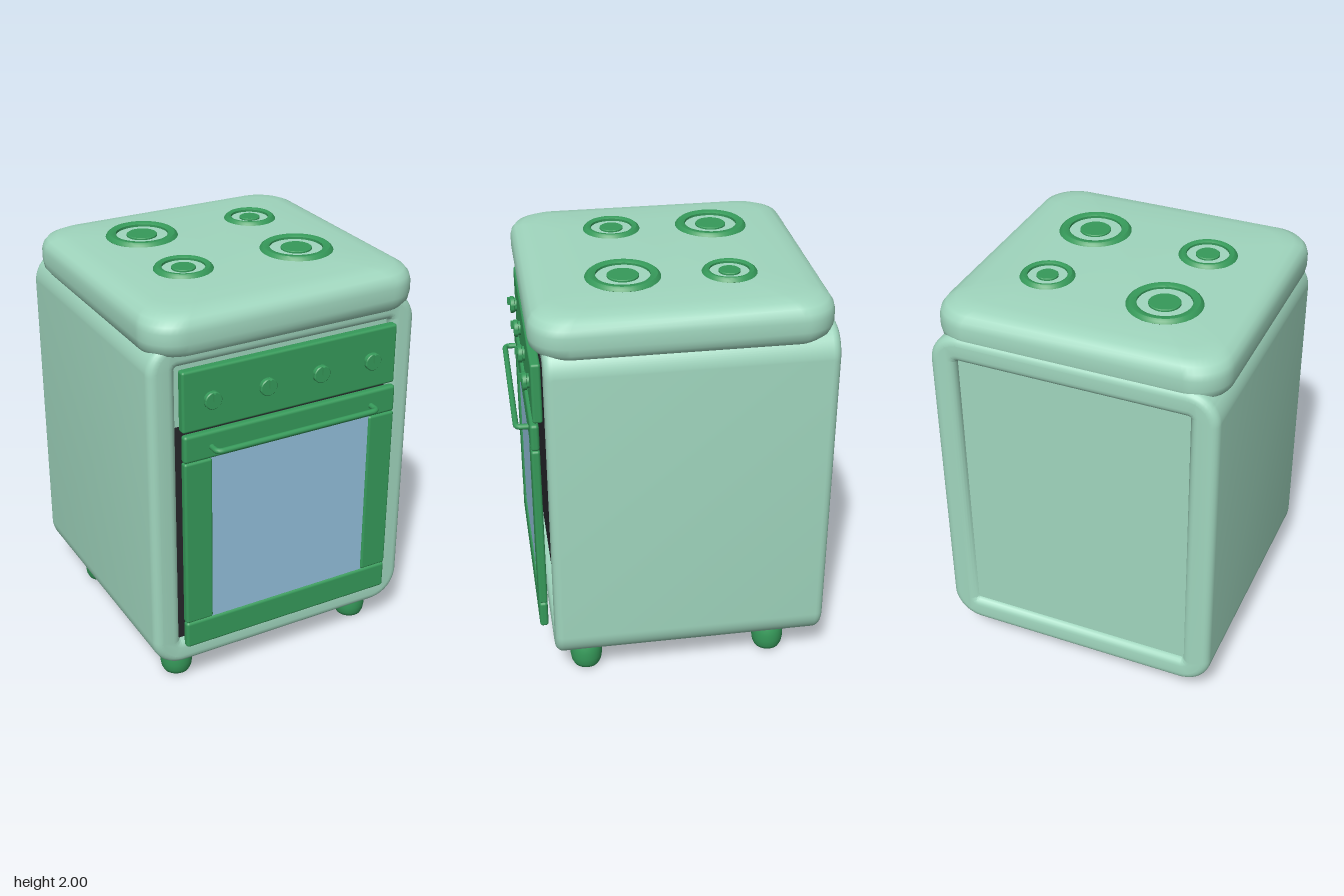
import * as THREE from 'three';
import { toCreasedNormals } from 'three/addons/utils/BufferGeometryUtils.js';
import { RoundedBoxGeometry } from 'three/addons/geometries/RoundedBoxGeometry.js';

function material(name, color) {
  const m = new THREE.MeshStandardMaterial({ color });
  m.name = name;
  return m;
}

// Rounded rectangle path between two corners
function roundedRect(path, x0, y0, x1, y1, r) {
  path.moveTo(x0 + r, y0);
  path.lineTo(x1 - r, y0);
  path.absarc(x1 - r, y0 + r, r, -Math.PI / 2, 0);
  path.lineTo(x1, y1 - r);
  path.absarc(x1 - r, y1 - r, r, 0, Math.PI / 2);
  path.lineTo(x0 + r, y1);
  path.absarc(x0 + r, y1 - r, r, Math.PI / 2, Math.PI);
  path.lineTo(x0, y0 + r);
  path.absarc(x0 + r, y0 + r, r, Math.PI, Math.PI * 1.5);
  return path;
}

function lathe(points, segments = 40) {
  const geo = new THREE.LatheGeometry(points.map(([r, y]) => new THREE.Vector2(r, y)), segments);
  return toCreasedNormals(geo, 0.6);
}

// Cushion-shaped slab: rounded rectangle rings of [inset, height] from bottom to top
function slabGeometry(hw, hd, r, profile) {
  const steps = 10, pos = [], index = [];
  const corners = [[1, 1], [-1, 1], [-1, -1], [1, -1]];
  const count = 4 * (steps + 1);
  for (const [inset, y] of profile) {
    const s = 1 - inset / hw;
    corners.forEach(([sx, sz], k) => {
      for (let i = 0; i <= steps; i++) {
        const a = (k + i / steps) * Math.PI / 2;
        pos.push((sx * (hw - r) + r * Math.cos(a)) * s, y, (sz * (hd - r) + r * Math.sin(a)) * s);
      }
    });
  }
  for (let i = 0; i < profile.length - 1; i++) {
    for (let j = 0; j < count; j++) {
      const a = i * count + j, b = i * count + (j + 1) % count;
      index.push(a, a + count, b, b, a + count, b + count);
    }
  }
  const geo = new THREE.BufferGeometry();
  geo.setAttribute('position', new THREE.Float32BufferAttribute(pos, 3));
  geo.setIndex(index);
  geo.computeVertexNormals();
  return geo;
}

export function createModel() {
  const model = new THREE.Group();
  model.name = 'stove';
  const mint = material('mint enamel', 0xa0d6be);
  const green = material('green trim', 0x369a5a);
  const glass = material('blue glass', 0x93c0dc);
  const dark = material('dark cavity', 0x26262a);

  function add(name, geo, mat, x = 0, y = 0, z = 0, parent = model) {
    const mesh = new THREE.Mesh(geo, mat);
    mesh.name = name;
    mesh.position.set(x, y, z);
    parent.add(mesh);
    return mesh;
  }
  // Box given by its two extremes on each axis
  function block(name, mat, [x0, x1], [y0, y1], [z0, z1], r = 0) {
    const size = [x1 - x0, y1 - y0, z1 - z0];
    const geo = r ? new RoundedBoxGeometry(...size, 3, r) : new THREE.BoxGeometry(...size);
    return add(name, geo, mat, (x0 + x1) / 2, (y0 + y1) / 2, (z0 + z1) / 2);
  }

  // Body shell with a soft rim at front and back
  const shell = roundedRect(new THREE.Shape(), -0.69, 0.15, 0.69, 1.84, 0.15);
  shell.holes.push(roundedRect(new THREE.Path(), -0.555, 0.28, 0.555, 1.71, 0.01));
  const shellGeo = new THREE.ExtrudeGeometry(shell, {
    depth: 1.24, curveSegments: 12, bevelEnabled: true,
    bevelThickness: 0.04, bevelSize: 0.04, bevelOffset: -0.04, bevelSegments: 5,
  });
  add('bodyShell', toCreasedNormals(shellGeo, 0.7), mint, 0, 0, -0.69);
  block('backPanel', mint, [-0.565, 0.565], [0.27, 1.72], [-0.7, 0.55]);
  block('ovenCavity', dark, [-0.56, 0.56], [0.275, 1.41], [0.55, 0.556]);

  // Worktop
  const top = slabGeometry(0.69, 0.6825, 0.17, [
    [0.69, 1.74], [0.3, 1.742], [0.12, 1.75], [0.06, 1.76], [0.025, 1.778], [0.006, 1.805],
    [0, 1.84], [0, 1.89], [0.007, 1.92], [0.025, 1.945], [0.06, 1.963],
    [0.12, 1.974], [0.3, 1.983], [0.69, 1.986],
  ]);
  add('worktop', top, mint, 0, 0, -0.0375);

  // Burners: x, z, ring radius, centre disc radius
  const burners = [
    [-0.28, -0.315, 0.173, 0.073], [0.297, -0.292, 0.127, 0.05],
    [-0.303, 0.168, 0.138, 0.056], [0.275, 0.19, 0.173, 0.073],
  ];
  for (const [x, z, r, disc] of burners) {
    const burner = new THREE.Group();
    burner.name = 'burner';
    burner.position.set(x, 1.97, z);
    model.add(burner);
    const w = 0.28 * r;
    add('burnerRing', lathe([
      [r - 0.015, 0], [r, 0.012], [r - 0.006, 0.022], [r - 0.016, 0.03],
      [r - w + 0.01, 0.03], [r - w, 0.024], [r - w, 0],
    ], 48), green, 0, 0, 0, burner);
    add('burnerDisc', lathe([[disc, 0], [disc, 0.02], [disc - 0.004, 0.023], [0, 0.023]]),
      green, 0, 0, 0, burner);
  }

  // Control panel and knobs
  block('controlPanel', green, [-0.555, 0.555], [1.417, 1.712], [0.594, 0.64], 0.012);
  const knobGeo = lathe([[0.034, 0], [0.034, 0.012], [0.042, 0.014], [0.042, 0.03], [0.038, 0.034], [0, 0.034]], 32);
  for (const x of [-0.417, -0.14, 0.136, 0.412]) {
    add('knob', knobGeo, green, x, 1.563, 0.638).rotation.x = Math.PI / 2;
    block('knobPointer', green, [x - 0.005, x + 0.005], [1.563, 1.602], [0.665, 0.685]);
  }

  // Oven door
  const doorZ = [0.613, 0.654];
  block('doorTopRail', green, [-0.555, 0.555], [1.272, 1.407], doorZ, 0.015);
  block('doorBottomRail', green, [-0.555, 0.555], [0.28, 0.419], doorZ, 0.015);
  for (const s of [-1, 1]) {
    const xs = [s * 0.415, s * 0.555].sort((a, b) => a - b);
    block('doorSide', green, xs, [0.419, 1.272], doorZ, 0.012);
  }
  block('doorWindow', glass, [-0.42, 0.42], [0.41, 1.28], [0.622, 0.645]);

  // Handle with curved ends
  const path = new THREE.CurvePath();
  const v = (x, z) => new THREE.Vector3(x, 1.332, z);
  path.add(new THREE.LineCurve3(v(-0.42, 0.645), v(-0.42, 0.685)));
  path.add(new THREE.QuadraticBezierCurve3(v(-0.42, 0.685), v(-0.42, 0.71), v(-0.39, 0.71)));
  path.add(new THREE.LineCurve3(v(-0.39, 0.71), v(0.39, 0.71)));
  path.add(new THREE.QuadraticBezierCurve3(v(0.39, 0.71), v(0.42, 0.71), v(0.42, 0.685)));
  path.add(new THREE.LineCurve3(v(0.42, 0.685), v(0.42, 0.645)));
  add('handle', new THREE.TubeGeometry(path, 120, 0.0135, 12), green);

  // Feet
  const footGeo = lathe([
    [0, 0], [0.05, 0.002], [0.065, 0.012], [0.074, 0.032], [0.079, 0.065],
    [0.079, 0.1], [0.075, 0.135], [0.066, 0.155], [0.05, 0.163], [0, 0.163],
  ], 32);
  for (const x of [-0.507, 0.507]) {
    for (const z of [0.43, -0.495]) add('foot', footGeo, green, x, 0, z);
  }

  return model;
}
